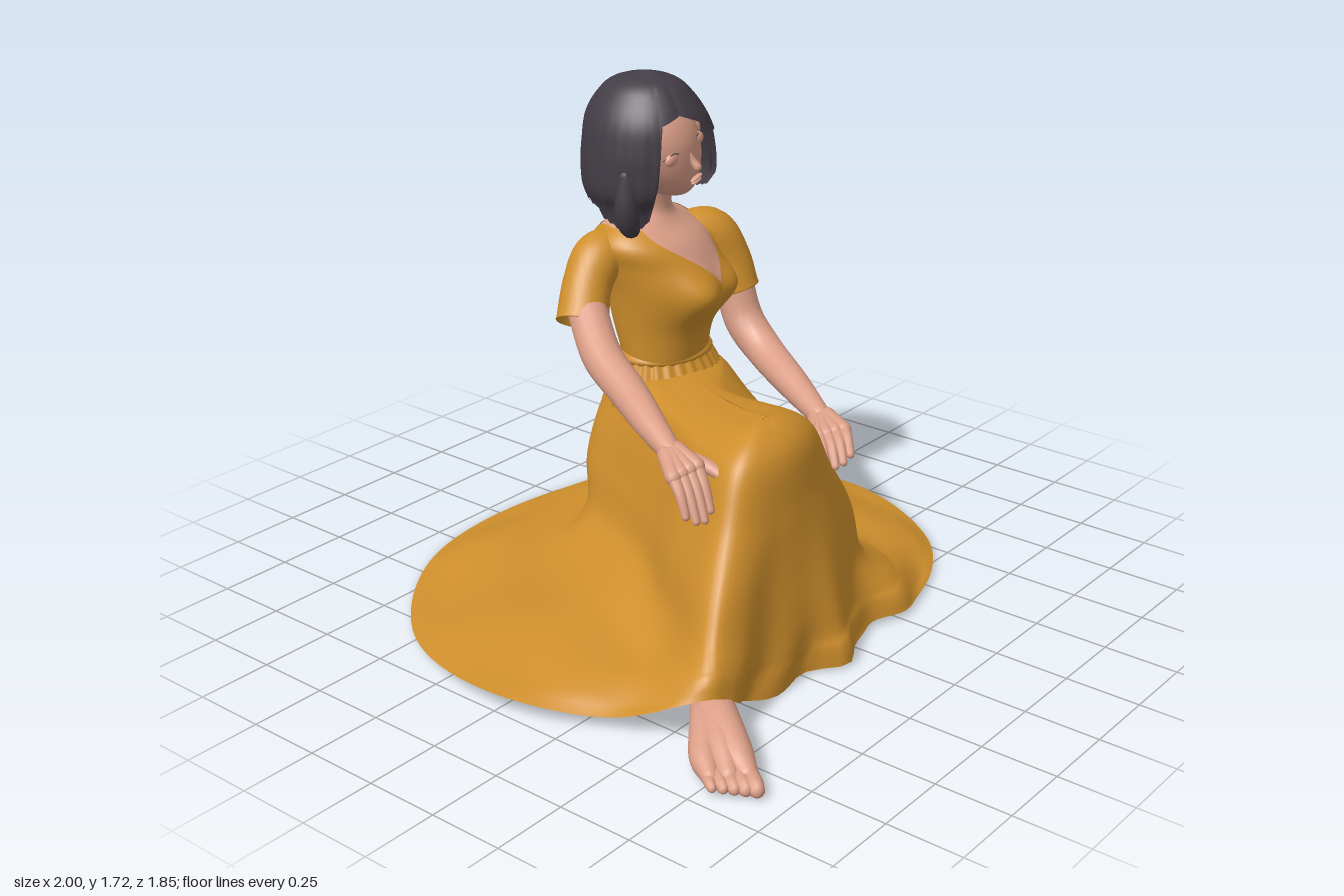
import * as THREE from 'three';

const V = (x, y, z) => new THREE.Vector3(x, y, z);
const TAU = Math.PI * 2;
const smooth = (x, a, b) => THREE.MathUtils.smoothstep(x, a, b);

// Skin a grid of closed rows of points
function grid(rows) {
  const n = rows[0].length, index = [];
  for (let i = 0; i < rows.length - 1; i++) for (let j = 0; j < n; j++) {
    const k = (j + 1) % n, a = i * n + j, b = i * n + k, c = a + n, d = b + n;
    index.push(a, b, d, a, d, c);
  }
  const g = new THREE.BufferGeometry().setFromPoints(rows.flat());
  g.setIndex(index);
  g.computeVertexNormals();
  return g;
}

// Smoothly interpolate a list of [key, ...values] at a key
function sample(list, t) {
  let i = 0;
  while (i < list.length - 2 && t > list[i + 1][0]) i++;
  const p = list[i], q = list[i + 1], h = q[0] - p[0], s = (t - p[0]) / h;
  const o = list[Math.max(i - 1, 0)], r = list[Math.min(i + 2, list.length - 1)];
  return p.slice(1).map((_, k) => {
    k++;
    const m0 = (q[k] - o[k]) / (q[0] - o[0]) * h, m1 = (r[k] - p[k]) / (r[0] - p[0]) * h;
    const s2 = s * s, s3 = s2 * s;
    return (2 * s3 - 3 * s2 + 1) * p[k] + (s3 - 2 * s2 + s) * m0 + (3 * s2 - 2 * s3) * q[k] + (s3 - s2) * m1;
  });
}

// Stack of ellipses [y, cx, cz, rx, rz]; lower and upper edges may vary with the angle (0 = front)
function shell(rings, lo, hi, nv, nu, yaw = 0, swell = () => 1) {
  const rows = [];
  for (let i = 0; i <= nv; i++) {
    const row = [];
    for (let j = 0; j < nu; j++) {
      let a = j / nu * TAU;
      if (a > Math.PI) a -= TAU;
      const y = lo(a) + (hi(a) - lo(a)) * i / nv;
      const [cx, cz, rx, rz] = sample(rings, y), s = swell(a, y);
      const x = Math.sin(a) * rx * s, z = Math.cos(a) * rz * s;
      row.push(V(cx + x * Math.cos(yaw) + z * Math.sin(yaw), y, cz + z * Math.cos(yaw) - x * Math.sin(yaw)));
    }
    rows.push(row);
  }
  return grid(rows);
}

// Limb through points [x, y, z, radius]; the far end is round, or a turned-in cuff
function limb(pts, steps = 20, sides = 18, cuff = false) {
  const curve = new THREE.CatmullRomCurve3(pts.map(p => V(p[0], p[1], p[2])));
  const radii = pts.map((p, i) => [i / (pts.length - 1), p[3]]);
  const rows = [], up = V(0.31, 0.9, 0.2).normalize();
  const add = (t, along, shrink) => {
    const r = sample(radii, t)[0], T = curve.getTangent(t), c = curve.getPoint(t).addScaledVector(T, along * r);
    const N = up.clone().addScaledVector(T, -up.dot(T)).normalize(), B = T.clone().cross(N);
    rows.push(Array.from({ length: sides }, (_, j) => c.clone()
      .addScaledVector(N, r * shrink * Math.cos(j / sides * TAU))
      .addScaledVector(B, r * shrink * Math.sin(j / sides * TAU))));
  };
  for (let i = 0; i < 4; i++) add(0, -Math.cos(i * Math.PI / 8), Math.sin(i * Math.PI / 8));
  for (let i = 0; i <= steps; i++) add(i / steps, 0, 1);
  if (cuff) for (const [along, shrink] of [[0.05, 1.02], [0.1, 1], [0.08, 0.93], [-0.2, 0.85]]) add(1, along, shrink);
  else for (let i = 3; i >= 0; i--) add(1, Math.cos(i * Math.PI / 8), Math.sin(i * Math.PI / 8));
  return grid(rows);
}

// Skirt draped from waist and knees to the floor; 12 columns from the back round by the left
function skirtGeometry() {
  const ridgeT = [0, 0, 0, 0.4, 0.9, 1, 1, 1, 0.75, 0.4, 0, 0];
  const levels = [
    [0.68, 0.2, -0.47, 0.33, -0.43, 0.39, -0.25, 0.13, 0.02, 0.04, 0.39, -0.07, 0.49, -0.26, 0.52, -0.4, 0.46, -0.32, 0.24, -0.16, 0, 0, -0.27, 0.07, -0.43],
    [0.55, 0.19, -0.53, 0.39, -0.47, 0.465, -0.24, 0.29, 0.09, 0.12, 0.43, -0.03, 0.52, -0.28, 0.55, -0.49, 0.49, -0.38, 0.25, -0.21, 0, -0.06, -0.28, 0.02, -0.46],
    [0.37, 0.17, -0.565, 0.41, -0.49, 0.52, -0.22, 0.43, 0.12, 0.23, 0.44, 0, 0.55, -0.33, 0.57, -0.6, 0.54, -0.47, 0.27, -0.27, 0, -0.11, -0.29, -0.02, -0.49],
    [0.21, 0.16, -0.545, 0.38, -0.47, 0.475, -0.22, 0.37, 0.12, 0.26, 0.46, 0, 0.57, -0.36, 0.59, -0.66, 0.57, -0.52, 0.28, -0.31, -0.02, -0.16, -0.3, -0.05, -0.47],
    [0.11, 0.15, -0.57, 0.43, -0.5, 0.57, -0.16, 0.5, 0.19, 0.34, 0.54, 0, 0.58, -0.4, 0.6, -0.7, 0.6, -0.63, 0.31, -0.46, -0.05, -0.3, -0.34, -0.1, -0.52]];
  const hem = [0.15, -0.92, 0.72, -0.7, 1, -0.12, 0.78, 0.4, 0.36, 0.62, 0.02, 0.6, -0.47, 0.6, -0.74, 0.63, -0.87, 0.35, -1, -0.03, -0.85, -0.5, -0.4, -0.87];
  const lift = [0, 0, 0, 0, 0.01, 0.01, 0.005, 0.145, 0.04, 0.05, 0.01, 0];
  const columns = ridgeT.map((t, c) => {
    const at = (l, dy) => V(l[1 + 2 * c], l[0] + dy, l[2 + 2 * c]);
    const ridge = V(0.2 - 0.4 * t, 0.7 + 0.11 * t * t, -0.28 + 0.68 * t);
    const top = at(levels[0], 0.05 * t * t), shoulder = top.clone().lerp(ridge, 0.5);
    shoulder.y = top.y + (ridge.y - top.y) * 0.8;
    const foot = at(levels[4], lift[c] * 0.9), edge = V(hem[2 * c], 0.012 + lift[c], hem[2 * c + 1]);
    const sheet = foot.clone().lerp(edge, 0.5);
    sheet.y += 0.012;
    return new THREE.CatmullRomCurve3([ridge, shoulder, top,
      ...levels.slice(1, 4).map((l, i) => at(l, lift[c] * [0, 0.1, 0.55][i])), foot, sheet, edge]);
  });
  const rows = [], nv = 72, nu = 144;
  for (let i = 0; i <= nv; i++) {
    const v = i / nv, ring = new THREE.CatmullRomCurve3(columns.map(c => c.getPoint(v)), true);
    rows.push(Array.from({ length: nu }, (_, j) => {
      const u = j / nu, p = ring.getPoint(u);
      const front = smooth(u, 0.3, 0.4) * (1 - smooth(u, 0.52, 0.58)) * smooth(v, 0.3, 1);
      p.z += front * (0.02 * Math.sin(u * TAU * 15) + 0.1 * Math.exp(-(((p.x + 0.12) / 0.085) ** 2)));
      p.y = Math.max(0.006, p.y + 0.012 * smooth(v, 0.8, 0.95) * (1 - smooth(v, 0.95, 1)) * Math.sin(u * TAU * 9));
      return p;
    }));
  }
  return grid(rows);
}

export function createModel() {
  const model = new THREE.Group();
  const paint = (name, color) => Object.assign(new THREE.MeshStandardMaterial({ color, side: THREE.DoubleSide }), { name });
  const gold = paint('golden cloth', 0xcf8f2c), skin = paint('skin', 0xdc9f88), dark = paint('dark hair', 0x433d45);
  const add = (name, geometry, material, parent = model) => {
    const m = new THREE.Mesh(geometry, material);
    m.name = name;
    parent.add(m);
    return m;
  };
  const ball = (name, mat, parent, p, s) => {
    const m = add(name, new THREE.SphereGeometry(1, 24, 16), mat, parent);
    m.position.set(...p);
    m.scale.set(...s);
  };

  // Dress
  add('skirt', skirtGeometry(), gold);
  const gathers = [[0.47, 0.2, -0.29, 0.2, 0.17], [0.58, 0.2, -0.3, 0.23, 0.205], [0.68, 0.198, -0.312, 0.2, 0.172], [0.75, 0.195, -0.315, 0.17, 0.135]];
  add('waistGathers', shell(gathers, () => 0.5, () => 0.745, 24, 192, 0,
    (a, y) => 1 + 0.022 * Math.cos(26 * a) * smooth(y, 0.52, 0.66)), gold);
  const band = [[0.728, 0.195, -0.315, 0.17, 0.135], [0.745, 0.195, -0.315, 0.181, 0.146], [0.765, 0.195, -0.315, 0.17, 0.135]];
  add('waistband', shell(band, () => 0.728, () => 0.765, 6, 64), gold);
  const seat = [[0.06, 0.22, -0.2, 0.002, 0.002], [0.065, 0.22, -0.2, 0.18, 0.22], [0.12, 0.22, -0.2, 0.22, 0.25]];
  add('seatUnderside', shell(seat, () => 0.06, () => 0.12, 12, 48), gold);

  // Torso, with the bodice cut to a V at the front
  const torso = [[0.74, 0.195, -0.315, 0.172, 0.137], [0.85, 0.19, -0.32, 0.178, 0.165], [0.98, 0.19, -0.31, 0.195, 0.205],
    [1.08, 0.185, -0.345, 0.215, 0.2], [1.15, 0.18, -0.37, 0.23, 0.177], [1.2, 0.175, -0.378, 0.185, 0.122],
    [1.235, 0.17, -0.37, 0.1, 0.087], [1.28, 0.168, -0.36, 0.076, 0.075], [1.38, 0.155, -0.34, 0.07, 0.07]];
  const bust = (a, y) => 1 + 0.2 * Math.exp(-(((Math.abs(a) - 0.48) / 0.36) ** 2) - ((y - 0.98) / 0.085) ** 2);
  const neckline = a => 1.01 + 0.195 * Math.min(1, Math.abs(a)) ** 0.85 - 0.035 * smooth(Math.abs(a), 2.1, 3.1);
  add('bodice', shell(torso, () => 0.74, neckline, 40, 96, 0.22, bust), gold);
  add('chestAndNeck', shell(torso, () => 0.9, () => 1.38, 40, 64, 0.22, (a, y) => bust(a, y) * (0.975 + 0.025 * smooth(y, 1.2, 1.25))), skin);

  // Sleeves and arms
  add('leftSleeve', limb([[0.32, 1.12, -0.34, 0.07], [0.41, 1.1, -0.3, 0.09], [0.452, 1.01, -0.26, 0.086], [0.462, 0.91, -0.23, 0.086]], 20, 24, true), gold);
  add('rightSleeve', limb([[0.05, 1.12, -0.41, 0.07], [-0.03, 1.105, -0.41, 0.086], [-0.1, 1.03, -0.4, 0.082], [-0.16, 0.93, -0.37, 0.086]], 20, 24, true), gold);
  add('leftArm', limb([[0.46, 0.96, -0.24, 0.068], [0.458, 0.8, -0.18, 0.068], [0.44, 0.72, -0.08, 0.064], [0.35, 0.67, 0.11, 0.054], [0.255, 0.632, 0.29, 0.036]], 32), skin);
  add('rightArm', limb([[-0.14, 0.97, -0.37, 0.066], [-0.235, 0.865, -0.22, 0.065], [-0.305, 0.805, -0.05, 0.06], [-0.38, 0.765, 0.1, 0.05], [-0.44, 0.73, 0.23, 0.035]], 32), skin);

  // Hands: palm, four fingers side by side, thumb
  const hand = (side, wrist, knuckle, tip, across, thumb) => {
    const g = new THREE.Group();
    g.name = side + 'Hand';
    model.add(g);
    const w = V(...wrist), k = V(...knuckle), t = V(...tip), s = V(...across);
    for (let i = 0; i < 4; i++) {
      const o = (i - 1.5) / 1.5, len = [0.88, 1, 0.95, 0.78][i];
      const a = k.clone().addScaledVector(s, o), e = k.clone().lerp(t, len).addScaledVector(s, o);
      const m = a.clone().lerp(e, 0.5), b = w.clone().addScaledVector(s, o * 0.4);
      m.y += 0.014;
      add('palmPart', limb([[...b.toArray(), 0.031], [...a.toArray(), 0.026]], 6, 12), skin, g);
      add('finger', limb([[...a.toArray(), 0.022], [...m.toArray(), 0.018], [...e.toArray(), 0.013]], 10, 10), skin, g);
    }
    const th = w.clone().lerp(V(...thumb), 0.5).addScaledVector(s, -0.4);
    add('thumb', limb([[...wrist, 0.024], [...th.toArray(), 0.024], [...thumb, 0.014]], 10, 10), skin, g);
  };
  hand('left', [0.25, 0.63, 0.3], [0.185, 0.62, 0.385], [0.115, 0.555, 0.47], [0.033, 0.008, 0.026], [0.12, 0.62, 0.36]);
  hand('right', [-0.445, 0.728, 0.24], [-0.485, 0.705, 0.325], [-0.515, 0.575, 0.41], [-0.04, -0.008, -0.012], [-0.4, 0.67, 0.43]);

  // Right ankle and bare foot reaching out from under the hem
  add('rightAnkle', limb([[-0.55, 0.17, 0.48, 0.05], [-0.59, 0.13, 0.51, 0.052], [-0.64, 0.085, 0.55, 0.052]]), skin);
  add('footInnerSide', limb([[-0.61, 0.075, 0.53, 0.056], [-0.72, 0.085, 0.65, 0.058], [-0.8, 0.06, 0.77, 0.05], [-0.84, 0.042, 0.84, 0.032]]), skin);
  add('footOuterSide', limb([[-0.62, 0.07, 0.52, 0.052], [-0.75, 0.07, 0.62, 0.052], [-0.86, 0.047, 0.7, 0.044], [-0.91, 0.035, 0.76, 0.027]]), skin);
  add('footMiddle', limb([[-0.7, 0.085, 0.6, 0.055], [-0.8, 0.064, 0.715, 0.052], [-0.875, 0.038, 0.8, 0.032]]), skin);
  for (let i = 0; i < 5; i++) {
    const x = -0.86 - 0.018 * i, z = 0.88 - 0.026 * i, r = 0.027 - 0.0025 * i;
    add('toe', limb([[x + 0.035, 0.04, z - 0.05, r], [x, 0.034, z, r], [x - 0.01, 0.028, z + 0.016, r - 0.003]], 8, 10), skin);
  }

  // Head, tilted to the right
  const head = new THREE.Group();
  head.name = 'head';
  head.position.set(0.11, 1.485, -0.3);
  head.rotation.z = 0.32;
  model.add(head);
  const skull = new THREE.SphereGeometry(1, 40, 32), pos = skull.attributes.position;
  for (let i = 0; i < pos.count; i++) {
    const y = pos.getY(i), low = Math.max(0, -y), z = pos.getZ(i);
    pos.setXYZ(i, pos.getX(i) * 0.152 * (1 - 0.3 * low * low), y * 0.18, z * 0.165 * (z < 0 ? 1 - 0.4 * low : 1) + 0.06 * low * low);
  }
  skull.computeVertexNormals();
  add('face', skull, skin, head);
  add('nose', limb([[0, 0.0, 0.153, 0.009], [0, -0.035, 0.163, 0.011], [0, -0.06, 0.178, 0.014]], 8, 12), skin, head);
  ball('upperLip', skin, head, [0, -0.103, 0.163], [0.029, 0.006, 0.01]);
  ball('lowerLip', skin, head, [0, -0.115, 0.16], [0.024, 0.007, 0.011]);
  for (const s of [-1, 1]) {
    ball('eye', skin, head, [s * 0.064, 0.0, 0.14], [0.032, 0.023, 0.015]);
    add('lashLine', limb([[s * 0.035, 0.006, 0.157, 0.0015], [s * 0.064, 0.02, 0.151, 0.002], [s * 0.098, 0.008, 0.13, 0.0015]], 10, 6), dark, head);
    ball('ear', skin, head, [s * 0.145, -0.005, 0.065], [0.014, 0.038, 0.025]);
  }

  // Bobbed hair: parted fringe in front, softly uneven ends at the sides and back
  const bob = [[1.18, 0.115, -0.33, 0.16, 0.16], [1.29, 0.13, -0.33, 0.2, 0.19], [1.35, 0.129, -0.317, 0.23, 0.218], [1.43, 0.122, -0.312, 0.228, 0.225],
    [1.5, 0.114, -0.31, 0.216, 0.22], [1.58, 0.102, -0.31, 0.188, 0.206], [1.65, 0.097, -0.31, 0.145, 0.164], [1.7, 0.094, -0.305, 0.09, 0.105], [1.727, 0.094, -0.29, 0.002, 0.002]];
  const ends = a => {
    const fringe = 1.61 - 0.08 * Math.abs(a + 0.3) ** 1.1;
    const hang = 1.3 - 0.06 * smooth(-a, 0.6, 1) * (1 - smooth(-a, 1.5, 2)) + 0.006 * Math.sin(a * 23) + 0.005 * Math.sin(a * 41);
    return fringe + (hang - fringe) * (a > 0 ? smooth(a, 0.95, 1.1) : smooth(-a, 0.65, 0.82));
  };
  add('hair', shell(bob, ends, () => 1.727, 44, 192, 0,
    (a, y) => 1 + 0.006 * Math.sin(a * 31) * (1 - smooth(y, 1.4, 1.66)) - 0.02 * Math.exp(-(((a + 0.3) / 0.08) ** 2)) * smooth(y, 1.5, 1.6)), dark);
  add('hairLining', shell(bob, a => ends(a) + 0.004, () => 1.7, 20, 96, 0, () => 0.93), dark);
  add('sideLock', limb([[-0.065, 1.42, -0.25, 0.035], [-0.07, 1.3, -0.25, 0.04], [-0.04, 1.235, -0.26, 0.032], [0.0, 1.225, -0.27, 0.012]], 16, 12), dark);
  return model;
}
